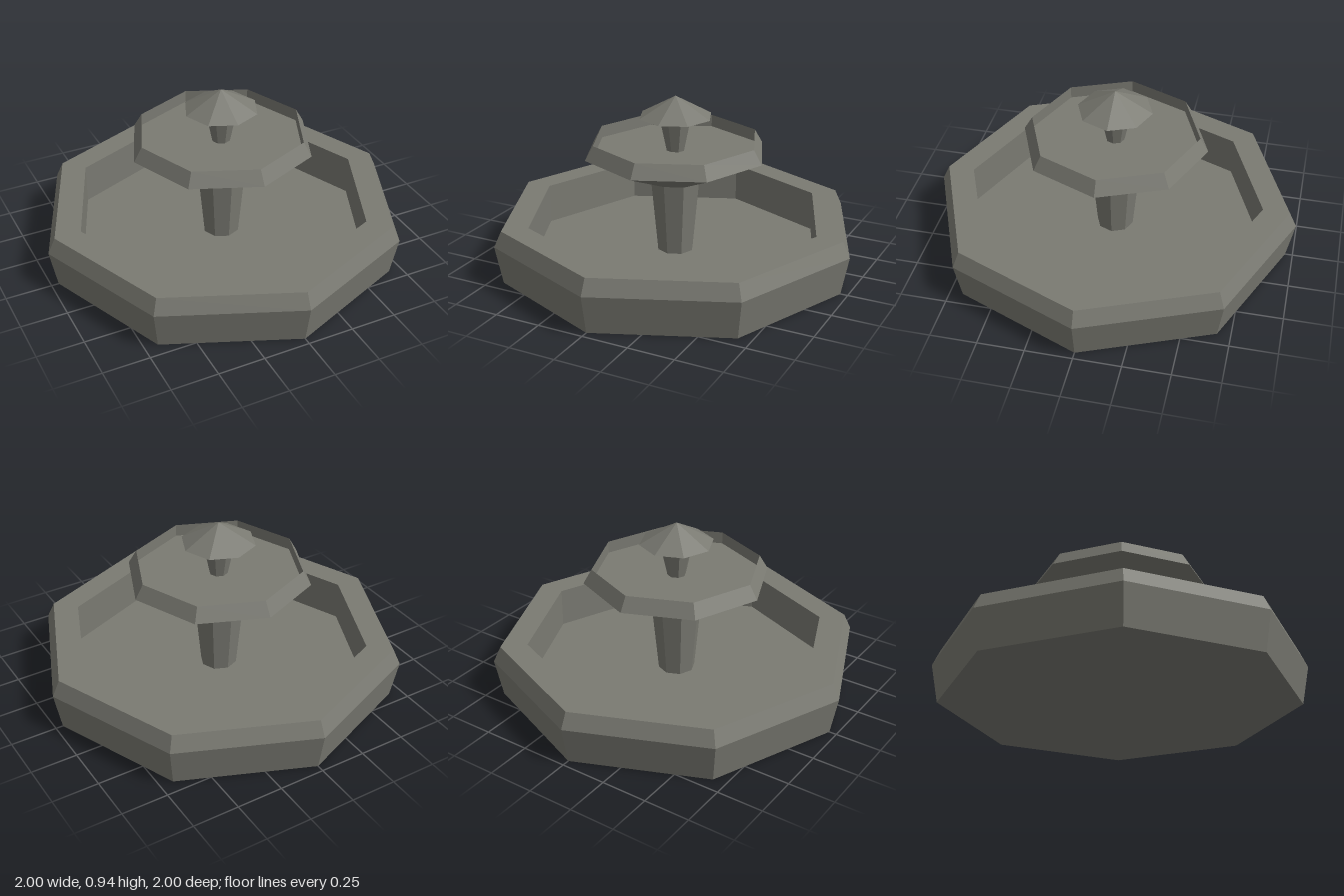
import * as THREE from 'three';

const SIDES = 8;

// Faceted octagonal solid from [radius, height] pairs, listed bottom to top on the outside
function turned(name, profile, material) {
  const points = profile.map(([r, y]) => new THREE.Vector2(r, y));
  const geometry = new THREE.LatheGeometry(points, SIDES).toNonIndexed();
  geometry.computeVertexNormals();
  const mesh = new THREE.Mesh(geometry, material);
  mesh.name = name;
  return mesh;
}

export function createModel() {
  const stone = new THREE.MeshStandardMaterial({ color: 0x7a7a72, flatShading: true });
  stone.name = 'stone';

  const fountain = new THREE.Group();
  fountain.name = 'fountain';

  fountain.add(
    // Wide lower basin with a thick bevelled rim and a sunken floor
    turned('basin', [
      [0, 0], [0.96, 0], [1, 0.21], [0.96, 0.295],
      [0.815, 0.295], [0.815, 0.075], [0, 0.075],
    ], stone),
    // Flared column
    turned('column', [[0.1, 0.075], [0.138, 0.478]], stone),
    // Upper bowl with a sharp rim and a shallow recess
    turned('upperBowl', [
      [0, 0.476], [0.138, 0.476], [0.5, 0.635], [0.455, 0.712],
      [0.455, 0.645], [0, 0.645],
    ], stone),
    // Short flared stem
    turned('stem', [[0.05, 0.645], [0.09, 0.835]], stone),
    // Pointed cap
    turned('cap', [[0, 0.833], [0.2, 0.833], [0, 0.945]], stone),
  );
  return fountain;
}
